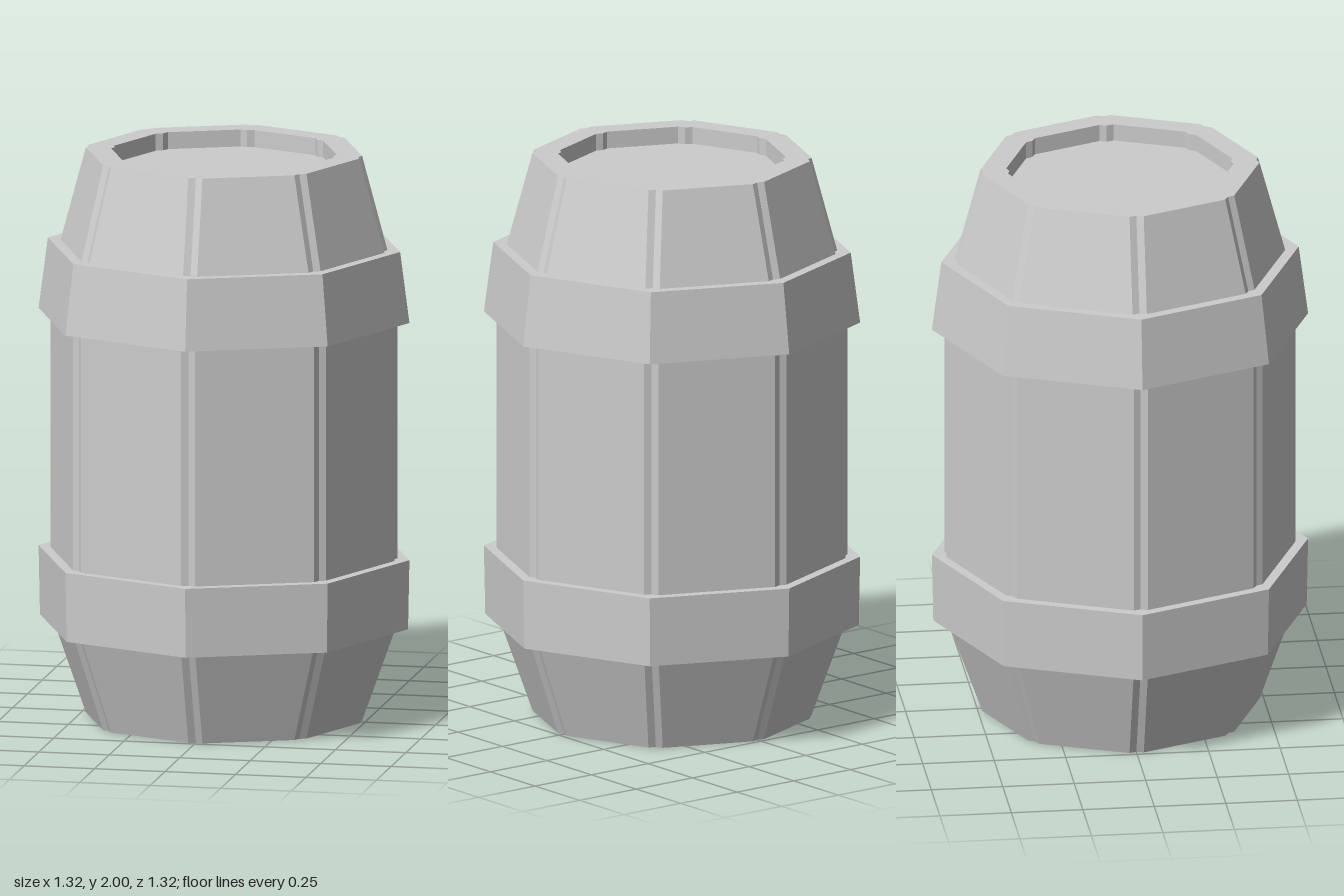
import * as THREE from 'three';

const material = new THREE.MeshStandardMaterial({ color: 0xcccccc, flatShading: true });

// Octagonal cross-section whose corners are blunted by a shallow groove.
function section(radius, y) {
  const points = [];
  for (let i = 0; i < 8; i++) {
    const a = i * Math.PI / 4;
    for (const [r, h] of [[radius, -0.025], [radius - 0.008, 0], [radius, 0.025]]) {
      points.push(new THREE.Vector3(
        r * Math.cos(a) - h * Math.sin(a), y, r * Math.sin(a) + h * Math.cos(a)));
    }
  }
  return points;
}

// Skin through the sections, in order from the bottom panel to the top panel.
function loft(profile) {
  const loops = profile.map(([r, y]) => section(r, y));
  const pos = [];
  const tri = (...corners) => corners.forEach(p => pos.push(p.x, p.y, p.z));
  const n = loops[0].length;
  for (let k = 0; k < loops.length - 1; k++) {
    for (let i = 0; i < n; i++) {
      const j = (i + 1) % n;
      const a = loops[k], b = loops[k + 1];
      tri(a[i], b[i], b[j]);
      tri(a[i], b[j], a[j]);
    }
  }
  // End panels
  const first = loops[0], last = loops[loops.length - 1];
  const low = new THREE.Vector3(0, first[0].y, 0);
  const high = new THREE.Vector3(0, last[0].y, 0);
  for (let i = 0; i < n; i++) {
    const j = (i + 1) % n;
    tri(low, first[i], first[j]);
    tri(high, last[j], last[i]);
  }
  const geometry = new THREE.BufferGeometry();
  geometry.setAttribute('position', new THREE.Float32BufferAttribute(pos, 3));
  geometry.computeVertexNormals();
  return geometry;
}

// Eight-sided band around the body, with its own lower and upper radius.
function band(name, y0, r0, y1, r1) {
  const inner = 0.53;
  const profile = [[inner, y0], [r0, y0], [r1, y1], [inner, y1], [inner, y0]]
    .map(([r, y]) => new THREE.Vector2(r, y));
  const mesh = new THREE.Mesh(new THREE.LatheGeometry(profile, 8), material);
  mesh.name = name;
  return mesh;
}

export function createModel() {
  const model = new THREE.Group();
  model.name = 'barrel';

  // Staves, rims and recessed end panels
  const body = new THREE.Mesh(loft([
    [0.395, 0.06], [0.395, 0], [0.485, 0], [0.61, 0.35],
    [0.61, 1.54], [0.485, 2], [0.395, 2], [0.395, 1.94],
  ]), material);
  body.name = 'body';
  model.add(body);

  // Hoops
  model.add(band('lowerHoop', 0.335, 0.653, 0.58, 0.658));
  model.add(band('upperHoop', 1.42, 0.658, 1.67, 0.625));
  return model;
}
